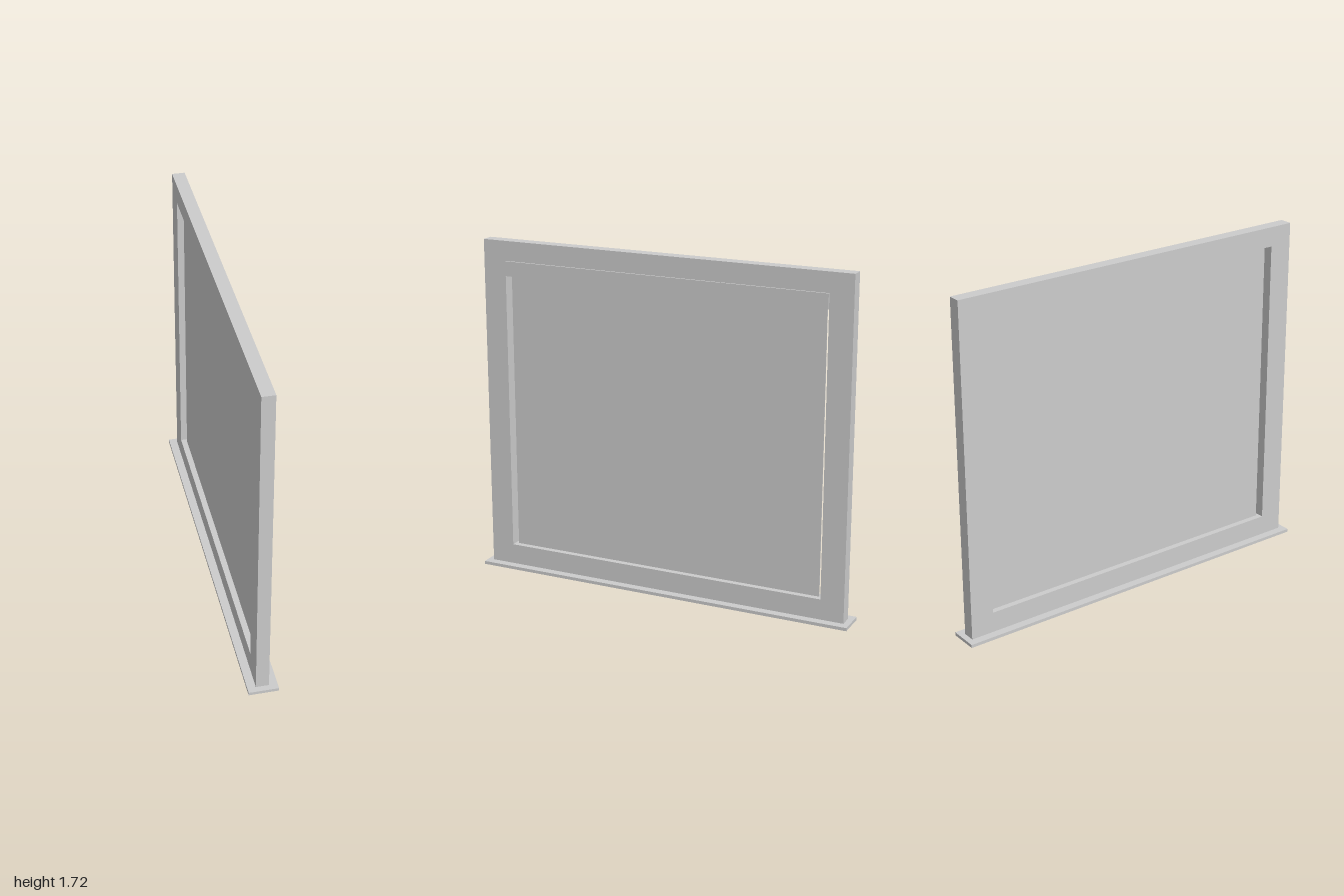
import * as THREE from 'three';

// Upright framed screen on a thin base plate, lying in the yz plane
export function createModel() {
  const group = new THREE.Group();
  const material = new THREE.MeshStandardMaterial({ color: 0xcccccc, flatShading: true });

  function add(name, geometry) {
    const mesh = new THREE.Mesh(geometry, material);
    mesh.name = name;
    group.add(mesh);
    return mesh;
  }
  // Box given by its centre x, its bottom and top, and centred on z
  function addBox(name, x, thickness, bottom, top, width) {
    add(name, new THREE.BoxGeometry(thickness, top - bottom, width))
      .position.set(x, (bottom + top) / 2, 0);
  }
  function rectangle(path, halfWidth, bottom, top) {
    path.moveTo(-halfWidth, bottom);
    path.lineTo(halfWidth, bottom);
    path.lineTo(halfWidth, top);
    path.lineTo(-halfWidth, top);
    path.closePath();
    return path;
  }

  const baseTop = 0.016, frameTop = 1.72, frameDepth = 0.064;
  const openBottom = 0.12, openTop = 1.62, openHalf = 0.85;

  // Base plate
  addBox('basePlate', 0, 0.148, 0, baseTop, 2);

  // Frame with a rectangular opening, turned to face +x
  const outline = rectangle(new THREE.Shape(), 0.97, baseTop, frameTop);
  outline.holes.push(rectangle(new THREE.Path(), openHalf, openBottom, openTop));
  const frame = new THREE.ExtrudeGeometry(outline, { depth: frameDepth, bevelEnabled: false });
  frame.translate(0, 0, -frameDepth / 2).rotateY(Math.PI / 2);
  add('frame', frame);

  // Thin screen panel, leaving a narrow gap at both sides
  addBox('screenPanel', 0, 0.004, openBottom, openTop, 1.665);

  // Slim cover strip across the top of the opening, on the +x side
  addBox('coverStrip', 0.036, 0.01, 1.545, openTop, 2 * openHalf);

  return group;
}
